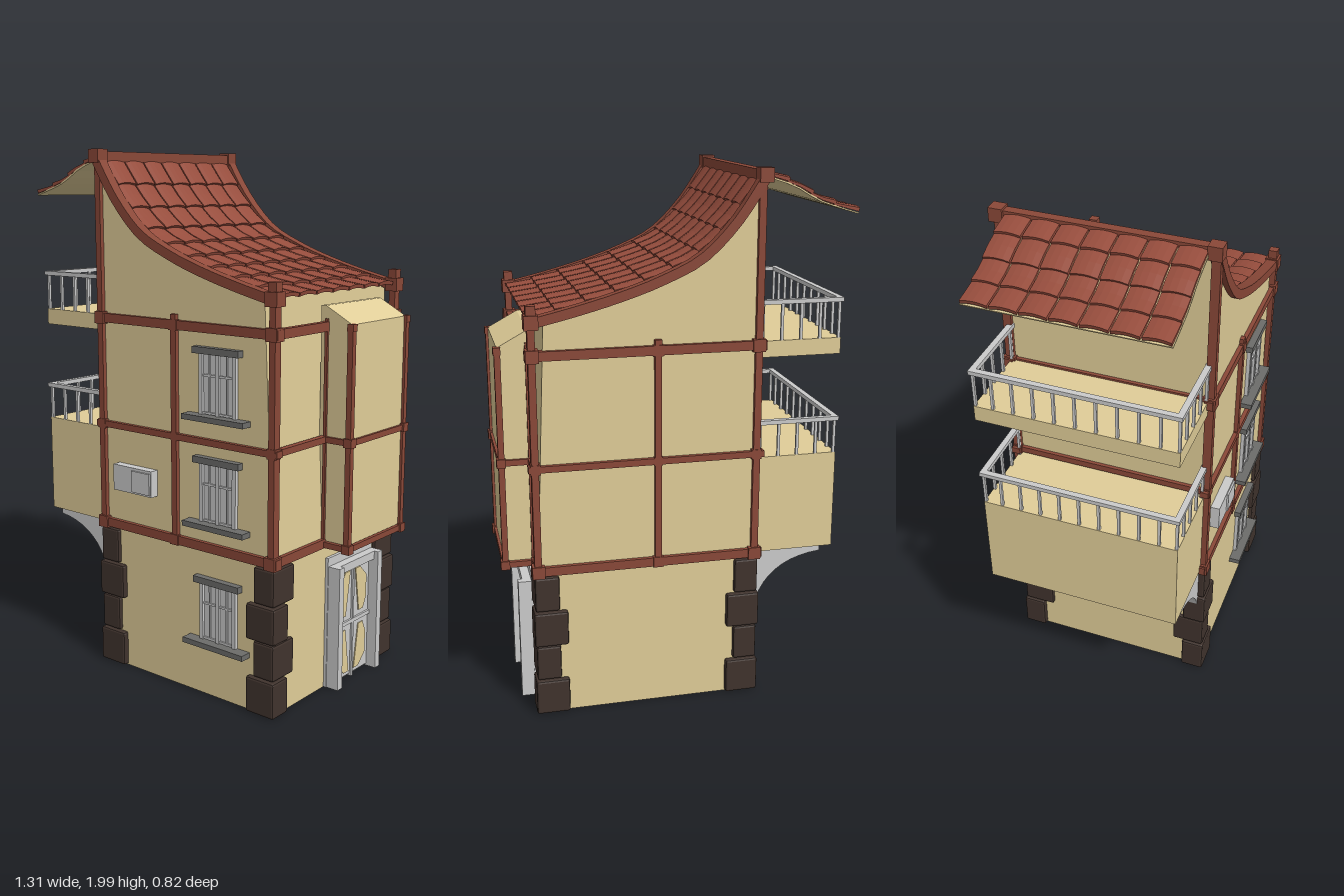
import * as THREE from 'three';
import { RoundedBoxGeometry } from 'three/addons/geometries/RoundedBoxGeometry.js';

const mat = (color) => new THREE.MeshStandardMaterial({ color, side: THREE.DoubleSide, flatShading: true });
const V2 = (x, y) => new THREE.Vector2(x, y);

export function createModel() {
  const root = new THREE.Group();
  root.name = 'townHouse';
  const plaster = mat(0xe0cd98), timber = mat(0x8a4838), tileMat = mat(0x964d3d);
  const stone = mat(0x40332d), grey = mat(0xcccccc), darkGrey = mat(0x6c6c6a);

  const X0 = -0.29, X1 = 0.52, Z0 = -0.385, Z1 = 0.37; // wall planes

  const add = (name, geo, m, parent = root) => {
    const mesh = new THREE.Mesh(geo, m);
    mesh.name = name;
    parent.add(mesh);
    return mesh;
  };
  // box from its two opposite corners
  const box = (name, m, x0, x1, y0, y1, z0, z1, parent) => {
    const mesh = add(name, new THREE.BoxGeometry(x1 - x0, y1 - y0, z1 - z0), m, parent);
    mesh.position.set((x0 + x1) / 2, (y0 + y1) / 2, (z0 + z1) / 2);
    return mesh;
  };
  // xy profile extruded from z0 to z1
  const prism = (name, m, pts, z0, z1, parent, steps = 1) => {
    const geo = new THREE.ExtrudeGeometry(new THREE.Shape(pts), { depth: z1 - z0, steps, bevelEnabled: false });
    geo.translate(0, 0, z0);
    return add(name, geo, m, parent);
  };
  // closed strip along a line: lo/hi are offsets along the normal at start and end
  const strip = (pts, lo, hi) => {
    const off = (d) => pts.map((p, i) => {
      const a = pts[Math.max(i - 1, 0)], b = pts[Math.min(i + 1, pts.length - 1)];
      const t = b.clone().sub(a).normalize();
      if (t.x < 0) t.negate();
      const k = d[0] + (d[1] - d[0]) * i / (pts.length - 1);
      return V2(p.x - t.y * k, p.y + t.x * k);
    });
    return [...off(lo), ...off(hi).reverse()];
  };

  // walls: ground floor, then upper floors under the sweeping roof line
  const roofCurve = new THREE.SplineCurve([V2(-0.295, 1.95), V2(-0.2, 1.81), V2(-0.08, 1.69),
    V2(0.06, 1.62), V2(0.2, 1.57), V2(0.36, 1.525), V2(0.53, 1.485)]);
  const backCurve = new THREE.SplineCurve([V2(-0.3, 1.965), V2(-0.42, 1.925), V2(-0.52, 1.87), V2(-0.66, 1.825)]);
  box('groundFloor', plaster, X0, X1, 0, 0.57, Z0, Z1);
  const roofLine = roofCurve.getSpacedPoints(18);
  prism('upperWalls', plaster, [V2(X0, 0.57), V2(X1, 0.57), ...roofLine.slice(0, -1).reverse()
    .map((p) => V2(Math.max(p.x, X0), p.y))], Z0, Z1);

  // roofs: overlapping rows of slightly crowned tiles in seven columns
  const tiles = new THREE.Group();
  tiles.name = 'roofTiles';
  root.add(tiles);
  const R0 = -0.357, R1 = 0.35, cols = 7, w = (R1 - R0) / cols;
  const layTiles = (curve, rows) => {
    for (let r = 0; r < rows; r++) {
      const line = [0, 0.5, 1].map((k) => curve.getPointAt(Math.min((r + k * 1.05) / rows, 1)));
      for (let c = 0; c < cols; c++) {
        const a = R0 + c * w + 0.003, b = a + w - 0.006;
        const geo = prism('roofTile', tileMat, strip(line, [0.001, 0.004], [0.008, 0.018]), a, b, tiles, 4).geometry;
        const p = geo.attributes.position;
        for (let i = 0; i < p.count; i++) {
          const u = (p.getZ(i) - a) / (b - a) * 2 - 1;
          p.setY(i, p.getY(i) + 0.006 * (1 - u * u));
        }
        geo.computeVertexNormals();
      }
    }
  };
  layTiles(roofCurve, 9);
  layTiles(backCurve, 4);
  prism('rearRoofLining', plaster, strip(backCurve.getSpacedPoints(8), [-0.006, -0.004], [0.001, 0.001]), R0, R1);

  // timber frame
  const frame = new THREE.Group();
  frame.name = 'timberFrame';
  root.add(frame);
  const beam = (name, ...c) => box(name, timber, ...c, frame);
  const joint = (x, y, z, s = 0.055) => beam('joint', x - s / 2, x + s / 2, y - s / 2, y + s / 2, z - s / 2, z + s / 2);
  const floors = [[0.575, 0.017], [0.965, 0.012], [1.372, 0.017]];
  for (const z of [Z0, Z1]) {
    const t = 0.016;
    prism('bargeBoard', timber, strip(roofLine, [-0.018, -0.018], [0.017, 0.017]), z - 0.02, z + 0.02, frame);
    beam('cornerPost', X0 - 0.014, X0 + 0.012, 0.57, 1.98, z - t, z + t);
    beam('cornerPost', X1 - 0.012, X1 + 0.014, 0.57, 1.54, z - t, z + t);
    beam('middlePost', 0.065, 0.09, 0.57, 1.41, z - t, z + t);
    for (const [y, h] of floors) {
      beam('floorBeam', X0 - 0.03, X1 + 0.025, y - h, y + h, z - t, z + t);
      const s = h * 2 + 0.012;
      joint(X0, y, z, s);
      joint(X1, y, z, s);
      joint(0.077, y, z, s * 0.85);
    }
    joint(X0 - 0.01, 1.965, z, 0.05);
    joint(X1, 1.53, z, 0.034);
    joint(X1, 1.49, z, 0.05);
  }
  beam('ridgeBeam', -0.315, -0.28, 1.945, 1.982, Z0, Z1);
  for (const [y, h] of floors) {
    beam('sideBeam', X0 - 0.014, X0 + 0.01, y - h, y + h, Z0, Z1);
    beam('sideBeam', X1 - 0.01, X1 + 0.014, y - h, y + h, Z0, Z1);
  }

  // bay over the door, with a sloping top
  const B0 = -0.29, B1 = 0.07, BX = 0.63;
  prism('bay', plaster, [V2(0.5, 0.585), V2(BX, 0.585), V2(BX, 1.385), V2(X1, 1.445), V2(0.5, 1.445)], B0, B1);
  for (const z of [B0, B1]) {
    beam('bayPost', BX - 0.012, BX + 0.01, 0.565, 1.385, z - 0.011, z + 0.011);
    beam('bayWallPost', X1, X1 + 0.012, 0.57, 1.4, z - 0.008, z + 0.008);
    for (const y of [0.572, 0.965]) {
      beam('baySideBeam', X1, BX + 0.008, y - 0.011, y + 0.011, z - 0.011, z + 0.011);
      joint(BX, y, z, 0.033);
    }
    joint(BX, 1.375, z, 0.026);
  }
  for (const y of [0.572, 0.965]) beam('bayFrontBeam', BX - 0.012, BX + 0.01, y - 0.011, y + 0.011, B0, B1);

  // corner stones, long and short by turns
  for (const sx of [-1, 1]) for (const sz of [-1, 1]) for (let r = 0; r < 4; r++) {
    const long = r % 2 === 0;
    const lx = long ? 0.125 : 0.09, lz = long ? 0.09 : 0.125, out = long ? 0.022 : 0.016;
    const cx = sx < 0 ? X0 - out + lx / 2 : X1 + out - lx / 2;
    const cz = sz < 0 ? Z0 - out + lz / 2 : Z1 + out - lz / 2;
    add('cornerStone', new RoundedBoxGeometry(lx, 0.134, lz, 1, 0.008), stone).position.set(cx, 0.07 + r * 0.138, cz);
  }

  // three front windows
  for (const y of [0.205, 0.655, 1.05]) {
    const g = new THREE.Group();
    g.name = 'window';
    g.position.set(0.28, y, Z1);
    root.add(g);
    box('pane', grey, -0.08, 0.08, 0.01, 0.24, -0.01, 0.004, g);
    for (const s of [-1, 1]) {
      box('sideFrame', grey, s * 0.076 - 0.008, s * 0.076 + 0.008, 0.01, 0.24, -0.01, 0.014, g);
      box('casementBar', grey, s * 0.04 - 0.003, s * 0.04 + 0.003, 0.01, 0.24, -0.01, 0.009, g);
    }
    box('mullion', grey, -0.007, 0.007, 0.01, 0.24, -0.01, 0.014, g);
    for (const h of [0.02, 0.155]) box('crossBar', grey, -0.08, 0.08, h - 0.004, h + 0.004, -0.01, 0.01, g);
    box('lintel', darkGrey, -0.105, 0.105, 0.232, 0.256, -0.01, 0.026, g);
    box('sill', darkGrey, -0.14, 0.14, -0.006, 0.014, -0.01, 0.045, g);
  }

  // cooling unit on the front wall
  box('coolingUnit', grey, -0.215, -0.02, 0.72, 0.82, Z1, 0.405);
  box('coolingGrille', grey, -0.115, -0.025, 0.728, 0.81, 0.4, 0.412);

  // double door with angular plaster-coloured panels
  const door = new THREE.Group();
  door.name = 'door';
  door.position.set(X1, 0, -0.105);
  root.add(door);
  box('doorBack', grey, -0.01, 0.012, 0, 0.51, -0.15, 0.15, door);
  box('doorHead', grey, 0, 0.045, 0.445, 0.477, -0.135, 0.135, door);
  for (const s of [-1, 1]) {
    box('doorJamb', grey, 0, 0.062, 0, 0.477, s * 0.132 - 0.015, s * 0.132 + 0.015, door);
    box('doorLeaf', grey, 0, 0.022, 0.01, 0.445, s * 0.06 - 0.055, s * 0.06 + 0.055, door);
    for (const [y0, y1, f] of [[0.255, 0.43, 0], [0.025, 0.2, 1]]) {
      const c = (y0 + y1) / 2, h = (y1 - y0) / 2;
      const pts = [V2(0.018, c - h), V2(0.05, c - h), V2(0.095, c - h * 0.5), V2(0.095, c + h * 0.5),
        V2(0.05, c + h), V2(0.018, c + h)].map((p) => V2(-s * p.x, p.y));
      if (f) { pts[4].x = -s * 0.075; pts[5].x = -s * 0.045; }
      else { pts[1].x = -s * 0.075; pts[0].x = -s * 0.045; }
      const panel = prism('doorPanel', plaster, pts, 0, 0.006, door);
      panel.rotation.y = Math.PI / 2;
      panel.position.x = 0.02;
    }
    box('doorRail', grey, 0.015, 0.03, 0.22, 0.235, s * 0.06 - 0.055, s * 0.06 + 0.055, door);
  }
  box('doorMeeting', grey, 0, 0.03, 0, 0.445, -0.005, 0.005, door);

  // balconies with railings
  const BL = -0.605;
  const balcony = (bottom, top, railTop) => {
    const g = new THREE.Group();
    g.name = 'balcony';
    root.add(g);
    box('balconyBody', plaster, BL, X0, bottom, top, Z0 + 0.005, Z1 - 0.005, g);
    const rail = (...c) => box('railing', grey, ...c, g);
    const post = (x, z) => rail(x - 0.005, x + 0.005, top, railTop - 0.008, z - 0.005, z + 0.005);
    for (const z of [Z0 + 0.01, Z1 - 0.01]) {
      rail(BL - 0.005, X0, railTop - 0.016, railTop, z - 0.011, z + 0.011);
      for (let i = 0; i < 5; i++) post(BL + 0.008 + i * 0.072, z);
    }
    rail(BL - 0.005, BL + 0.017, railTop - 0.016, railTop, Z0, Z1);
    for (let i = 1; i < 10; i++) post(BL + 0.008, Z0 + (Z1 - Z0) * i / 10);
  };
  balcony(0.57, 0.945, 1.085);
  balcony(1.322, 1.382, 1.53);

  // arched brackets under the lower balcony
  const arch = new THREE.QuadraticBezierCurve(V2(-0.56, 0.55), V2(-0.34, 0.53), V2(-0.3, 0.34)).getPoints(10);
  for (const z of [Z0 + 0.01, Z1 - 0.05]) {
    prism('bracket', grey, [V2(X0, 0.57), V2(-0.56, 0.57), ...arch, V2(X0, 0.34)], z, z + 0.04);
  }
  return root;
}
